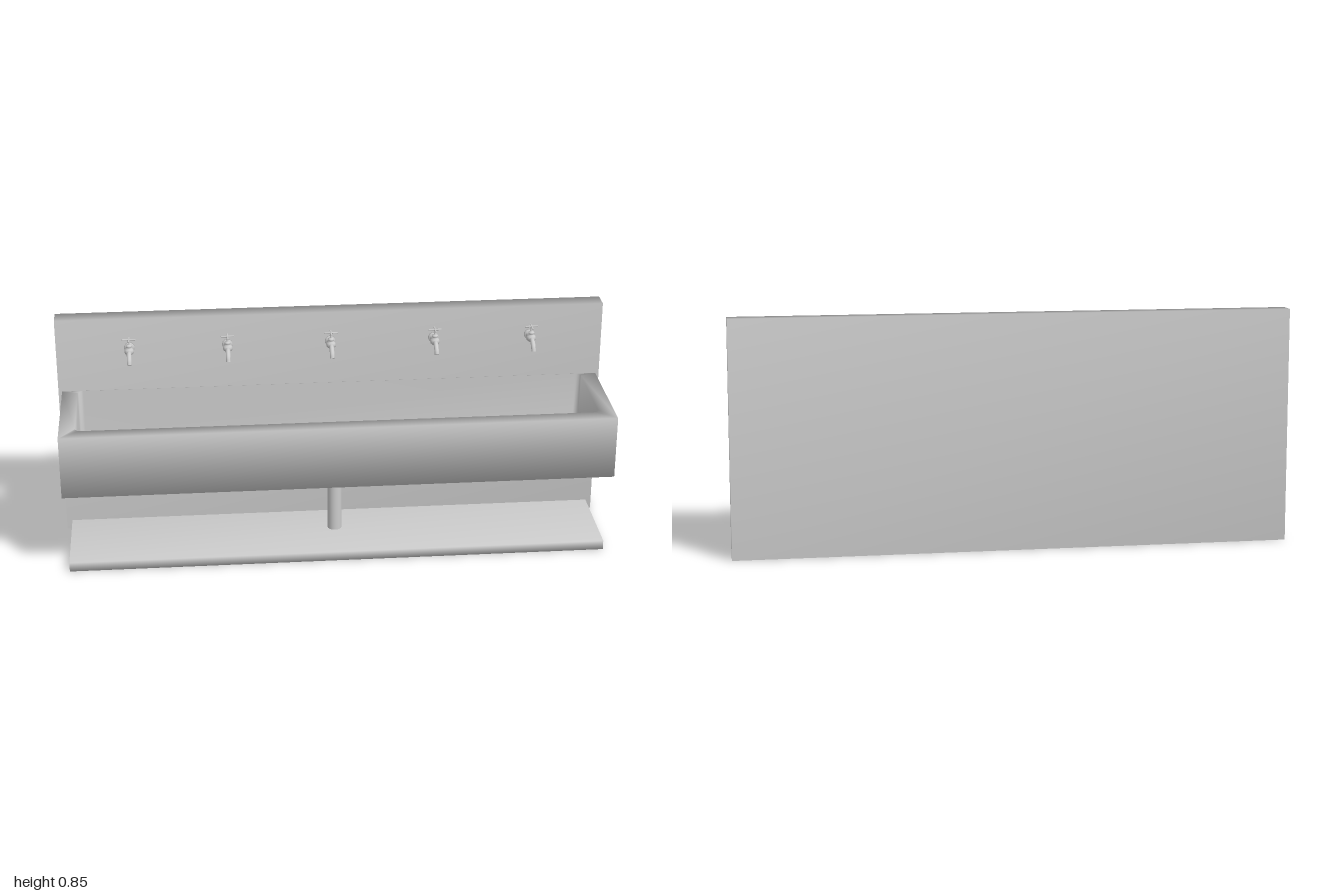
import * as THREE from 'three';
import { mergeVertices } from 'three/addons/utils/BufferGeometryUtils.js';

const material = new THREE.MeshStandardMaterial({ color: 0xcccccc });

function add(parent, name, geometry, x = 0, y = 0, z = 0) {
  const mesh = new THREE.Mesh(geometry, material);
  mesh.name = name;
  mesh.position.set(x, y, z);
  parent.add(mesh);
  return mesh;
}

// Shares corner vertices so that shading runs softly over the edges
function soften(geometry) {
  geometry.deleteAttribute('normal');
  geometry.deleteAttribute('uv');
  const merged = mergeVertices(geometry, 1e-5);
  merged.computeVertexNormals();
  return merged;
}

const softBox = (w, h, d) => soften(new THREE.BoxGeometry(w, h, d));

function lathe(points, segments = 20) {
  return new THREE.LatheGeometry(points.map(([r, y]) => new THREE.Vector2(r, y)), segments);
}

// Skin over rounded rectangles: [halfX, zBack, zFront, y, cornerRadius]
function rectangleSkin(rings) {
  const steps = 5, n = steps * 4, positions = [], index = [];
  for (const [hx, z0, z1, y, r] of rings) {
    for (let i = 0; i < n; i++) {
      const corner = Math.floor(i / steps);
      const a = (corner + (i % steps) / (steps - 1)) * Math.PI / 2;
      const sx = corner === 0 || corner === 3 ? 1 : -1;
      const cz = corner < 2 ? z1 - r : z0 + r;
      positions.push(sx * (hx - r) + r * Math.cos(a), y, cz + r * Math.sin(a));
    }
  }
  for (let k = 0; k < rings.length - 1; k++) {
    for (let i = 0; i < n; i++) {
      const a = k * n + i, b = k * n + (i + 1) % n;
      index.push(a, a + n, b, b, a + n, b + n);
    }
  }
  const g = new THREE.BufferGeometry();
  g.setAttribute('position', new THREE.Float32BufferAttribute(positions, 3));
  g.setIndex(index);
  return soften(g);
}

function createTap() {
  const tap = new THREE.Group();
  tap.name = 'tap';
  // Wall flange and inlet, lying along z
  const inlet = add(tap, 'tapInlet', lathe([
    [0, 0], [0.019, 0], [0.019, 0.007], [0.016, 0.01], [0.01, 0.011], [0.009, 0.05],
  ]), 0, 0, -0.166);
  inlet.rotation.x = Math.PI / 2;
  // Valve body with bonnet and stem
  add(tap, 'tapValve', lathe([
    [0, -0.011], [0.009, -0.01], [0.016, -0.004], [0.0175, 0.004], [0.015, 0.011],
    [0.009, 0.016], [0.009, 0.02], [0.011, 0.021], [0.011, 0.026], [0.006, 0.029],
    [0.0035, 0.031], [0.0035, 0.048], [0, 0.048],
  ]), 0, 0, -0.12);
  // Cross handle
  for (const turn of [0, Math.PI / 2]) {
    const bar = add(tap, 'tapHandle', new THREE.CapsuleGeometry(0.003, 0.044, 3, 8), 0, 0.048, -0.12);
    bar.rotation.set(Math.PI / 2, 0, turn);
  }
  // Curved spout with a closed mouth
  const path = new THREE.CatmullRomCurve3([
    [0.001, -0.112], [0.002, -0.092], [-0.004, -0.078], [-0.014, -0.066], [-0.026, -0.06],
  ].map(([y, z]) => new THREE.Vector3(0, y, z)));
  add(tap, 'tapSpout', new THREE.TubeGeometry(path, 16, 0.0085, 12));
  const mouth = add(tap, 'tapMouth', new THREE.CircleGeometry(0.0085, 12));
  mouth.position.copy(path.getPoint(1));
  mouth.lookAt(path.getPoint(1).add(path.getTangent(1)));
  return tap;
}

export function createModel() {
  const model = new THREE.Group();
  model.name = 'washTrough';

  add(model, 'backPanel', softBox(2, 0.845, 0.069), 0, 0.4225, -0.2);
  add(model, 'footPlate', softBox(1.96, 0.035, 0.333), 0, 0.0175, -0.001);

  // Trough: outside up to the rim, then down into the basin
  add(model, 'trough', rectangleSkin([
    [0, 0.03, 0.03, 0.335, 0],
    [0.987, -0.166, 0.235, 0.335, 0],
    [0.987, -0.166, 0.235, 0.567, 0],
    [0.93, -0.164, 0.178, 0.567, 0.02],
    [0.93, -0.164, 0.178, 0.385, 0.02],
    [0.915, -0.152, 0.163, 0.365, 0.015],
    [0, 0.005, 0.005, 0.362, 0],
  ]));

  // Drain pipe with its collar
  add(model, 'drainPipe', new THREE.CylinderGeometry(0.026, 0.026, 0.33, 24), 0, 0.165, -0.031);
  add(model, 'drainCollar', lathe([
    [0.026, 0.314], [0.031, 0.316], [0.034, 0.322], [0.034, 0.336],
  ], 24), 0, 0, -0.031);

  for (const x of [-0.735, -0.38, -0.005, 0.375, 0.73]) {
    const tap = createTap();
    tap.position.set(x, 0.734, 0);
    model.add(tap);
  }
  return model;
}
